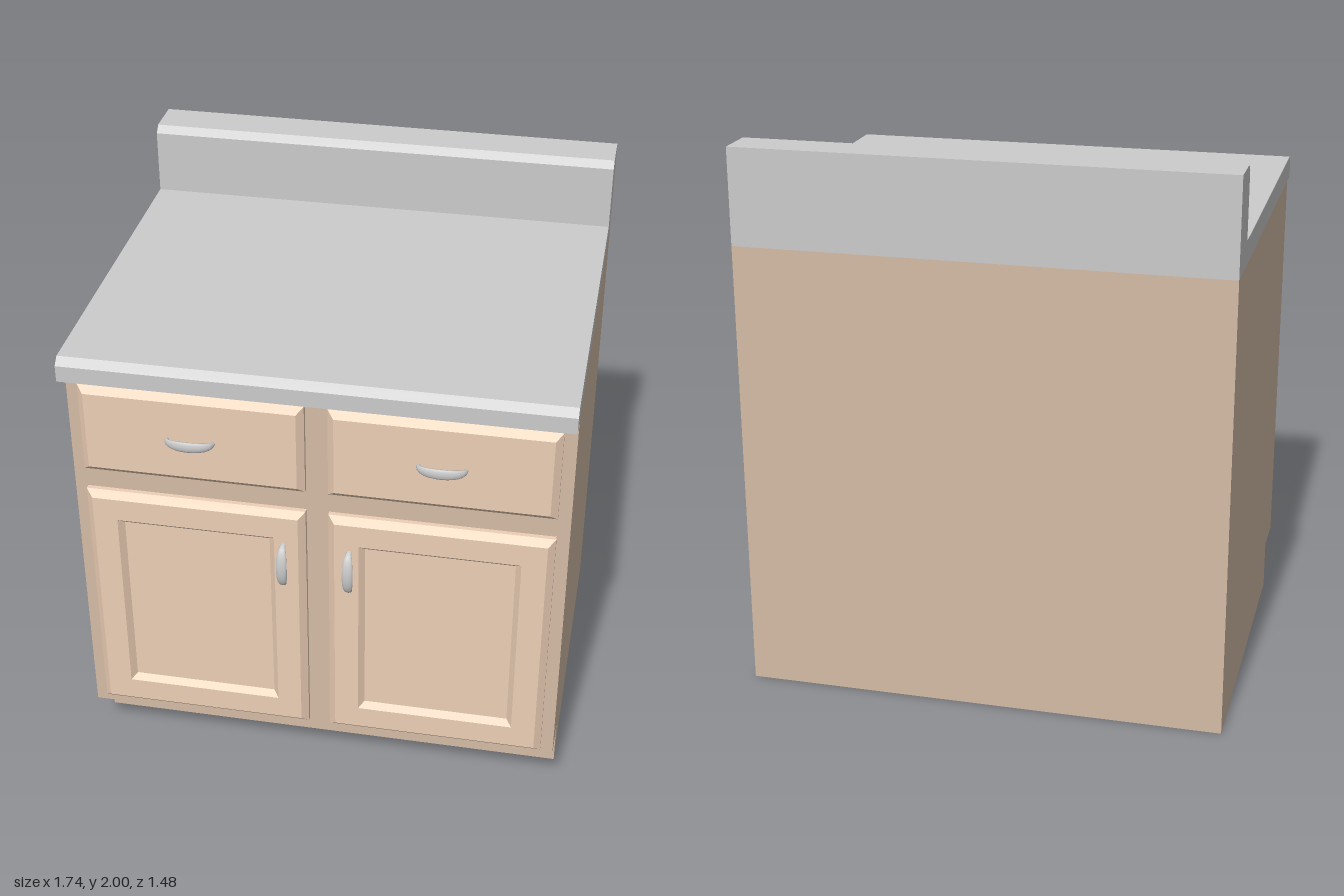
import * as THREE from 'three';

const HALF_W = 0.87;   // half the cabinet width
const FACE_Z = 0.655;  // front of the carcass
const DOOR_Z = 0.695;  // front of doors and drawers

const stone = new THREE.MeshStandardMaterial({ color: 0xcccccc });
const metal = new THREE.MeshStandardMaterial({ color: 0xcccccc });
const carcassWood = new THREE.MeshStandardMaterial({ color: 0xd5bca6 });
const doorWood = new THREE.MeshStandardMaterial({ color: 0xedcfb6 });

function named(name, geometry, material) {
  const mesh = new THREE.Mesh(geometry, material);
  mesh.name = name;
  return mesh;
}

// Side profile of [z, y] points, extruded across the full width
function sideProfile(points) {
  const shape = new THREE.Shape(points.map(([z, y]) => new THREE.Vector2(z, y)));
  const geo = new THREE.ExtrudeGeometry(shape, { depth: 2 * HALF_W, bevelEnabled: false });
  return geo.rotateY(-Math.PI / 2).translate(HALF_W, 0, 0);
}

// Rectangular panel stepped through [inset, z] rings, closed at both ends
function steppedPanel(w, h, rings) {
  const pos = [];
  const loops = rings.map(([inset, z]) => {
    const x = w / 2 - inset, y = h / 2 - inset;
    return [[-x, -y, z], [x, -y, z], [x, y, z], [-x, y, z]];
  });
  const quad = (a, b, c, d) => pos.push(...a, ...b, ...c, ...a, ...c, ...d);
  for (let i = 0; i + 1 < loops.length; i++) {
    for (let k = 0; k < 4; k++) {
      const n = (k + 1) % 4;
      quad(loops[i][k], loops[i][n], loops[i + 1][n], loops[i + 1][k]);
    }
  }
  quad(...loops[loops.length - 1]);
  quad(...[...loops[0]].reverse());
  const geo = new THREE.BufferGeometry();
  geo.setAttribute('position', new THREE.Float32BufferAttribute(pos, 3));
  geo.computeVertexNormals();
  return geo;
}

// Arched pull lying along x, widest in the middle, feet at z = 0
function pullGeometry() {
  const steps = 12, sides = 10, pos = [], index = [];
  for (let i = 0; i <= steps; i++) {
    const a = Math.PI * (1 - i / steps);
    const c = Math.cos(a), s = Math.sin(a);
    const cx = 0.08 * c, cz = 0.037 * Math.pow(Math.max(s, 0), 0.8);
    const width = 0.009 + 0.011 * s, thick = 0.008;
    for (let j = 0; j < sides; j++) {
      const t = (j / sides) * Math.PI * 2;
      const r = thick * Math.cos(t);
      pos.push(cx + r * c, width * Math.sin(t), cz + r * s);
    }
  }
  for (let i = 0; i < steps; i++) {
    for (let j = 0; j < sides; j++) {
      const n = (j + 1) % sides;
      const a = i * sides + j, b = i * sides + n;
      index.push(a, a + sides, b, b, a + sides, b + sides);
    }
  }
  const geo = new THREE.BufferGeometry();
  geo.setAttribute('position', new THREE.Float32BufferAttribute(pos, 3));
  geo.setIndex(index);
  geo.computeVertexNormals();
  return geo;
}

export function createModel() {
  const model = new THREE.Group();
  model.name = 'baseCabinet';

  // Carcass with toe kick
  model.add(named('carcass', sideProfile([
    [-0.74, 0], [0.48, 0], [0.48, 0.18], [FACE_Z, 0.18], [FACE_Z, 1.655], [-0.74, 1.655],
  ]), carcassWood));

  // Countertop with backsplash, chamfered front edges
  model.add(named('countertop', sideProfile([
    [-0.74, 1.655], [0.74, 1.655], [0.74, 1.715], [0.713, 1.74],
    [-0.565, 1.74], [-0.565, 1.975], [-0.59, 2], [-0.74, 2],
  ]), stone));

  // Chamfered fronts; doors also have a recessed centre
  const edge = [[0, FACE_Z], [0, 0.672], [0.024, DOOR_Z]];
  const recess = [[0.11, DOOR_Z], [0.13, 0.673]];
  const drawerGeo = steppedPanel(0.785, 0.345, edge);
  const doorGeo = steppedPanel(0.785, 0.96, [...edge, ...recess]);
  const pullGeo = pullGeometry();

  for (const side of [-1, 1]) {
    const label = side > 0 ? 'left' : 'right';

    const drawer = named(label + 'Drawer', drawerGeo, doorWood);
    drawer.position.set(side * 0.4325, 1.4375, 0);
    const drawerPull = named(label + 'DrawerHandle', pullGeo, metal);
    drawerPull.position.set(side * 0.4325, 1.4375, DOOR_Z);

    const door = named(label + 'Door', doorGeo, doorWood);
    door.position.set(side * 0.4325, 0.7, 0);
    const doorPull = named(label + 'DoorHandle', pullGeo, metal);
    doorPull.position.set(side * 0.117, 0.962, DOOR_Z);
    doorPull.rotation.z = Math.PI / 2;

    model.add(drawer, drawerPull, door, doorPull);
  }
  return model;
}
